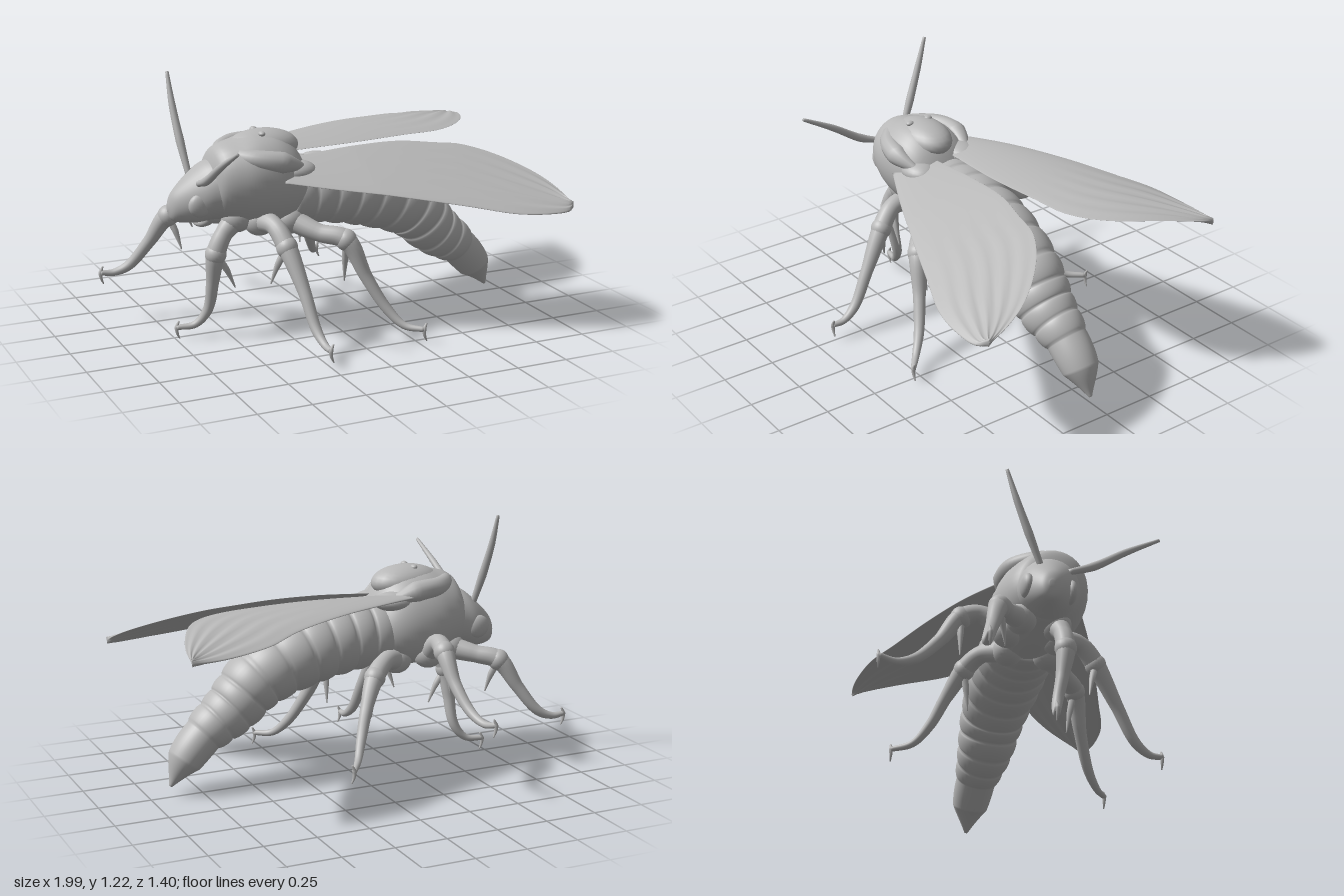
import * as THREE from 'three';

const V = (p) => new THREE.Vector3(...p);
const grey = new THREE.MeshStandardMaterial({ color: 0xb8b8b8 });
grey.name = 'clay grey';

// Skin a list of closed rings, cap both ends, and face the surface outwards
function loft(rings) {
  const n = rings[0].length, pos = [], idx = [];
  rings.forEach((r) => r.forEach((p) => pos.push(p.x, p.y, p.z)));
  for (let i = 0; i < rings.length - 1; i++) {
    for (let j = 0; j < n; j++) {
      const a = i * n + j, b = i * n + (j + 1) % n;
      idx.push(a, b, a + n, b, b + n, a + n);
    }
  }
  [0, rings.length - 1].forEach((i, end) => {
    const c = new THREE.Vector3();
    rings[i].forEach((p) => c.addScaledVector(p, 1 / n));
    const k = pos.length / 3;
    pos.push(c.x, c.y, c.z);
    for (let j = 0; j < n; j++) {
      const a = i * n + j, b = i * n + (j + 1) % n;
      if (end) idx.push(a, b, k); else idx.push(b, a, k);
    }
  });
  const at = (i) => new THREE.Vector3().fromArray(pos, idx[i] * 3);
  let volume = 0;
  for (let i = 0; i < idx.length; i += 3) volume += at(i).dot(at(i + 1).cross(at(i + 2)));
  if (volume < 0) idx.reverse();
  const g = new THREE.BufferGeometry();
  g.setAttribute('position', new THREE.Float32BufferAttribute(pos, 3));
  g.setIndex(idx);
  g.computeVertexNormals();
  return g;
}

// Linear interpolation in a short list, u counted in list steps
function sample(list, u) {
  const i = Math.min(Math.floor(u), list.length - 2);
  return THREE.MathUtils.lerp(list[i], list[i + 1], u - i);
}

// Tube through points with one radius per point
function limb(points, radii, { steps = 8, sides = 12, zScale = 1, shape = () => 1 } = {}) {
  const curve = new THREE.CatmullRomCurve3(points.map(V));
  const spans = points.length - 1, total = spans * steps, rings = [];
  let normal = new THREE.Vector3(0.31, 0.2, 0.93);
  for (let i = 0; i <= total; i++) {
    const t = i / total, u = t * spans;
    const c = curve.getPoint(t), d = curve.getTangent(t);
    normal = normal.clone().addScaledVector(d, -normal.dot(d)).normalize();
    const side = d.clone().cross(normal);
    const r = sample(radii, u) * shape(u);
    rings.push(Array.from({ length: sides }, (_, j) => {
      const a = j / sides * Math.PI * 2;
      const o = normal.clone().multiplyScalar(Math.cos(a) * r).addScaledVector(side, Math.sin(a) * r);
      o.z *= zScale;
      return o.add(c);
    }));
  }
  return loft(rings);
}

// Body shell from stations [x, bottom, top, centre z, half width], leaning with height
function shell(stations, lean) {
  const curve = (k) => new THREE.SplineCurve(stations.map((s) => new THREE.Vector2(s[0], s[k])));
  const curves = [1, 2, 3, 4].map(curve), rings = [], count = 36, sides = 36;
  for (let i = 0; i <= count; i++) {
    const p = curves.map((c) => c.getPoint(i / count));
    const [lo, hi, zc, w] = p.map((q) => q.y);
    rings.push(Array.from({ length: sides }, (_, j) => {
      const a = j / sides * Math.PI * 2;
      const y = (lo + hi) / 2 + (hi - lo) / 2 * Math.sin(a);
      return new THREE.Vector3(p[0].x, y, zc + w * Math.cos(a) + lean * (y - 0.7));
    }));
  }
  return loft(rings);
}

// Thin wing between a leading and a trailing edge, both given as [x, z] from root to tip
function wing(leading, trailing, height) {
  const edge = (pts) => new THREE.CatmullRomCurve3(pts.map(([x, z]) => new THREE.Vector3(x, 0, z)));
  const L = edge(leading), T = edge(trailing), rings = [], count = 70, sides = 64;
  for (let i = 0; i <= count; i++) {
    const s = i / count, a = L.getPointAt(s), b = T.getPointAt(s);
    rings.push(Array.from({ length: sides }, (_, j) => {
      const th = j / sides * Math.PI * 2, k = (1 - Math.cos(th)) / 2;
      const p = a.clone().lerp(b, k);
      const ripple = 0.006 * Math.sin(k * 34 + s * 5) * Math.sin(Math.PI * k) * THREE.MathUtils.smoothstep(s, 0.35, 0.85);
      p.y = height(p.x, p.z) + ripple + Math.sin(th) * THREE.MathUtils.lerp(0.016, 0.006, k);
      return p;
    }));
  }
  return loft(rings);
}

export function createModel() {
  const model = new THREE.Group();
  model.name = 'moth';
  const add = (name, geometry, parent = model) => {
    const m = new THREE.Mesh(geometry, grey);
    m.name = name;
    parent.add(m);
    return m;
  };
  const ball = (name, p, size, parent) => {
    const m = add(name, new THREE.SphereGeometry(1, 24, 16), parent);
    m.position.set(...p);
    m.scale.set(...size);
    return m;
  };

  // Head and eyes
  add('head', shell([
    [-0.768, 0.62, 0.65, 0.005, 0.012], [-0.745, 0.57, 0.71, 0.01, 0.055], [-0.66, 0.555, 0.80, 0.02, 0.115],
    [-0.59, 0.565, 0.85, 0.035, 0.14], [-0.5, 0.58, 0.86, 0.05, 0.15], [-0.45, 0.66, 0.78, 0.05, 0.08],
  ], 0.1));
  ball('leftEye', [-0.65, 0.66, 0.115], [0.058, 0.056, 0.03]);
  ball('rightEye', [-0.65, 0.67, -0.085], [0.058, 0.056, 0.03]);

  // Thorax with its collar and back plate
  add('thorax', shell([
    [-0.6, 0.67, 0.82, 0.045, 0.08], [-0.565, 0.58, 0.91, 0.045, 0.155], [-0.47, 0.54, 0.945, 0.045, 0.2],
    [-0.38, 0.51, 0.965, 0.045, 0.215], [-0.28, 0.505, 0.955, 0.045, 0.21], [-0.2, 0.53, 0.905, 0.045, 0.185],
    [-0.145, 0.58, 0.82, 0.045, 0.14], [-0.12, 0.65, 0.74, 0.045, 0.07],
  ], 0.15));
  add('collar', limb([
    [-0.17, 0.83, -0.07], [-0.3, 0.875, -0.1], [-0.43, 0.885, -0.075], [-0.53, 0.885, 0.06],
    [-0.43, 0.87, 0.2], [-0.3, 0.85, 0.24], [-0.18, 0.81, 0.21],
  ], [0.015, 0.05, 0.045, 0.035, 0.045, 0.05, 0.015]));
  ball('backPlate', [-0.33, 0.895, 0.07], [0.175, 0.082, 0.115]);
  ball('rightBackSpot', [-0.355, 0.968, 0.027], [0.016, 0.012, 0.02]);
  ball('leftBackSpot', [-0.355, 0.966, 0.13], [0.016, 0.012, 0.02]);

  // Segmented abdomen ending in a cone
  add('abdomen', limb([
    [-0.2, 0.67, 0.04], [0, 0.66, 0.045], [0.22, 0.615, 0.045], [0.45, 0.51, 0.04],
    [0.59, 0.38, 0.035], [0.73, 0.275, 0.025], [0.83, 0.165, 0.018], [0.9, 0.05, 0.015],
  ], [0.155, 0.168, 0.17, 0.15, 0.13, 0.1, 0.076, 0.008], {
    steps: 24, sides: 40, zScale: 1.06,
    shape: (u) => u < 5 ? 0.93 + 0.09 * Math.sqrt(Math.sin(Math.PI * ((u * 2) % 1))) : 0.93 + 0.15 * Math.sin(Math.PI * (u - 5) / 2),
  }));

  // Wings: the left one slopes down, the right one is nearly level
  add('leftWing', wing(
    [[-0.3, 0.27], [-0.07, 0.38], [0.19, 0.49], [0.47, 0.6], [0.67, 0.675], [0.83, 0.695], [0.95, 0.685], [0.99, 0.65]],
    [[-0.2, 0.11], [0.1, 0.105], [0.35, 0.107], [0.52, 0.14], [0.66, 0.17], [0.81, 0.27], [0.94, 0.43], [0.985, 0.56], [0.99, 0.645]],
    (x, z) => 0.85 - 0.43 * (z - 0.1) - 0.03 * Math.max(0, 0.1 - x) + 0.012 * Math.sin(Math.PI * (x + 0.2))));
  add('rightWing', wing(
    [[-0.29, -0.13], [-0.07, -0.24], [0.19, -0.35], [0.46, -0.465], [0.62, -0.55], [0.81, -0.59], [0.92, -0.593], [0.99, -0.585]],
    [[-0.2, 0.02], [0.17, 0.03], [0.45, 0.005], [0.63, -0.02], [0.75, -0.08], [0.85, -0.18], [0.95, -0.38], [0.985, -0.5], [0.99, -0.578]],
    (x, z) => 0.845 - 0.16 * z - 0.40 * z * z + 0.015 * Math.sin(Math.PI * (x + 0.2))));
  ball('leftWingRoot', [-0.21, 0.79, 0.18], [0.1, 0.05, 0.08]);
  ball('rightWingRoot', [-0.21, 0.83, -0.05], [0.1, 0.045, 0.08]);

  // Antennae
  const feeler = [0.014, 0.02, 0.016, 0.008];
  add('rightAntenna', limb([[-0.655, 0.77, -0.02], [-0.672, 0.92, -0.08], [-0.685, 1.08, -0.14], [-0.69, 1.225, -0.185]], feeler));
  add('leftAntenna', limb([[-0.655, 0.76, 0.11], [-0.66, 0.8, 0.22], [-0.65, 0.9, 0.38], [-0.64, 0.99, 0.545]], feeler));

  // Legs: path from hip to foot, plus the offset of the spur below the knee
  const legs = {
    rightFrontLeg: [[[-0.5, 0.58, -0.07], [-0.6, 0.555, -0.16], [-0.69, 0.53, -0.22], [-0.77, 0.4, -0.27], [-0.86, 0.28, -0.315], [-0.93, 0.25, -0.33], [-0.993, 0.255, -0.335]], [0.05, -0.16, 0.04]],
    leftFrontLeg: [[[-0.47, 0.58, 0.1], [-0.54, 0.51, 0.11], [-0.58, 0.42, 0.11], [-0.59, 0.28, 0.09], [-0.605, 0.14, 0.06], [-0.66, 0.07, 0.04], [-0.745, 0.06, 0.02]], [0.09, -0.17, 0.01]],
    rightMiddleLeg: [[[-0.37, 0.57, -0.1], [-0.36, 0.65, -0.22], [-0.345, 0.63, -0.31], [-0.35, 0.5, -0.41], [-0.375, 0.39, -0.52], [-0.395, 0.355, -0.61], [-0.41, 0.37, -0.692]], [-0.03, -0.2, -0.01]],
    leftMiddleLeg: [[[-0.37, 0.56, 0.13], [-0.345, 0.56, 0.25], [-0.32, 0.48, 0.33], [-0.285, 0.3, 0.44], [-0.265, 0.14, 0.53], [-0.255, 0.09, 0.6], [-0.255, 0.085, 0.66]], [-0.06, -0.18, -0.05]],
    rightHindLeg: [[[-0.22, 0.55, -0.06], [-0.11, 0.57, -0.16], [-0.03, 0.52, -0.22], [0.045, 0.4, -0.29], [0.1, 0.28, -0.35], [0.15, 0.2, -0.42], [0.21, 0.185, -0.51]], [0.01, -0.2, 0.02]],
    leftHindLeg: [[[-0.22, 0.55, 0.13], [-0.12, 0.5, 0.24], [-0.02, 0.475, 0.32], [0.06, 0.3, 0.37], [0.14, 0.15, 0.43], [0.2, 0.08, 0.49], [0.27, 0.07, 0.55]], [0.01, -0.21, -0.04]],
  };
  for (const [name, [path, spur]] of Object.entries(legs)) {
    const leg = new THREE.Group();
    leg.name = name;
    model.add(leg);
    const knee = path[2], foot = path[6];
    add('limb', limb(path, [0.055, 0.042, 0.046, 0.03, 0.024, 0.017, 0.012], { sides: 16 }), leg);
    ball('hip', path[0], [0.075, 0.07, 0.07], leg);
    ball('kneeJoint', knee, [0.05, 0.052, 0.05], leg);
    const shift = (f, dy = 0) => knee.map((v, i) => v + spur[i] * f + (i === 1 ? dy : 0));
    add('spur', limb([shift(0.1), shift(0.55, 0.015), shift(1)], [0.018, 0.015, 0.003], { sides: 8 }), leg);
    const [x, y, z] = foot;
    add('claw', limb([[x + 0.012, y + 0.03, z], [x, y, z], [x + 0.003, y - 0.03, z], [x + 0.014, y - 0.056, z]], [0.004, 0.01, 0.007, 0.003], { sides: 8 }), leg);
  }
  return model;
}
